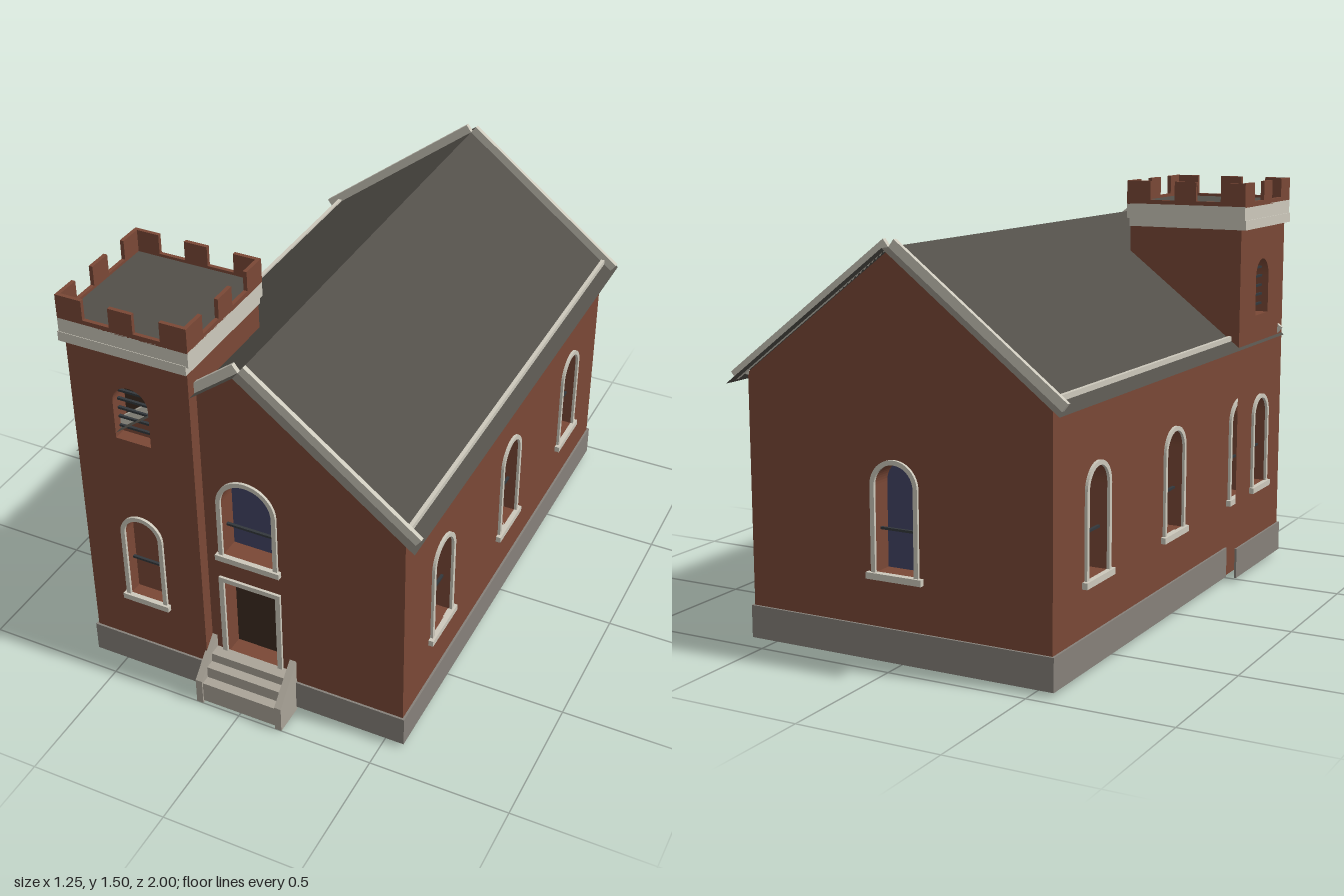
import * as THREE from 'three';

const mat = (name, color, side = THREE.FrontSide) => {
  const m = new THREE.MeshStandardMaterial({ color, side });
  m.name = name;
  return m;
};

export function createModel() {
  const root = new THREE.Group();
  root.name = 'church';
  const D = THREE.DoubleSide;
  const brick = mat('brick', 0x7a4836, D), slate = mat('slate', 0x524f49, D);
  const trim = mat('trim', 0xcdc9bc), plinthMat = mat('plinthStone', 0x86817a);
  const stepMat = mat('stepStone', 0xaaa498), glass = mat('glass', 0x424466, D);
  const darkWood = mat('darkWood', 0x3c2b20, D), barMat = mat('glazingBar', 0x33383c);

  const add = (parent, name, geo, material, x = 0, y = 0, z = 0) => {
    const m = new THREE.Mesh(geo, material);
    m.name = name;
    m.position.set(x, y, z);
    parent.add(m);
    return m;
  };
  // Box given by its lower and upper limits
  const box = (parent, name, material, x0, x1, y0, y1, z0, z1) =>
    add(parent, name, new THREE.BoxGeometry(x1 - x0, y1 - y0, z1 - z0), material,
      (x0 + x1) / 2, (y0 + y1) / 2, (z0 + z1) / 2);
  const poly = pts => new THREE.Shape(pts.map(p => new THREE.Vector2(...p)));
  const extrude = (shape, depth) =>
    new THREE.ExtrudeGeometry(shape, { depth, bevelEnabled: false, curveSegments: 12 });

  // Opening outline, round-headed or square
  const outline = (Type, c, hw, y0, y1, round) => {
    const s = new Type();
    s.moveTo(c - hw, y0);
    s.lineTo(c + hw, y0);
    if (round) {
      s.lineTo(c + hw, y1 - hw);
      s.absarc(c, y1 - hw, hw, 0, Math.PI, false);
    } else {
      s.lineTo(c + hw, y1);
      s.lineTo(c - hw, y1);
    }
    s.closePath();
    return s;
  };

  // Recessed opening: reveal, pane, frame, sill and bars
  const DEPTH = 0.07;
  const opening = (g, o) => {
    const { c, hw, y0, y1, round = true, frame = 0, sill = 0, bars = [], pane = glass } = o;
    const reveal = outline(THREE.Shape, c, hw + 0.003, y0 - 0.003, y1 + 0.003, round);
    reveal.holes.push(outline(THREE.Path, c, hw, y0, y1, round));
    add(g, 'reveal', extrude(reveal, DEPTH), brick, 0, 0, -DEPTH);
    add(g, 'pane', new THREE.ShapeGeometry(outline(THREE.Shape, c, hw, y0, y1, round)), pane, 0, 0, -DEPTH);
    if (frame) {
      const f = outline(THREE.Shape, c, hw + frame, y0 - 0.001, y1 + frame, round);
      f.holes.push(outline(THREE.Path, c, hw, y0, y1, round));
      add(g, 'frame', extrude(f, 0.01), trim);
    }
    if (sill) box(g, 'sill', trim, c - sill, c + sill, y0 - 0.022, y0, -0.005, 0.018);
    bars.forEach(y => box(g, 'bar', barMat, c - hw, c + hw, y - 0.004, y + 0.004, -0.035, -0.025));
  };

  // Thin wall in its own plane, facing local +z
  const wall = (name, pts, x, z, turn, openings = []) => {
    const g = new THREE.Group();
    g.name = name;
    g.position.set(x, 0, z);
    g.rotation.y = turn;
    const s = poly(pts);
    openings.forEach(o =>
      s.holes.push(outline(THREE.Path, o.c, o.hw, o.y0, o.y1, o.round !== false)));
    add(g, name + 'Surface', new THREE.ShapeGeometry(s, 12), brick);
    openings.forEach(o => opening(g, o));
    root.add(g);
  };

  const W = 0.565, ZF = 0.88, ZB = -0.945, Y0 = 0.015;
  const RIDGE = 1.36, SLOPE = 0.767;
  const TL = -0.605, TR = -0.16, TF = 0.925, TB = 0.468, TT = 1.36;
  const roofY = x => RIDGE - SLOPE * Math.abs(x);
  const rect = (a, b, y0, y1) => [[a, y0], [b, y0], [b, y1], [a, y1]];
  const gable = [[-W, Y0], [W, Y0], [W, roofY(W) - 0.003], [0, RIDGE - 0.003], [-W, roofY(W) - 0.003]];
  const sideWindow = c => ({ c, hw: 0.073, y0: 0.31, y1: 0.67, frame: 0.016, sill: 0.104, bars: [0.45] });
  const towerWindow = c => ({ c, hw: 0.065, y0: 0.335, y1: 0.672, frame: 0.016, sill: 0.09, bars: [0.475] });
  const belfry = c => ({ c, hw: 0.066, y0: 0.997, y1: 1.207, pane: darkWood,
    bars: [1.03, 1.066, 1.1, 1.136, 1.17] });

  // Nave walls
  wall('frontWall', gable, 0, ZF, 0, [
    { c: 0, hw: 0.094, y0: 0.602, y1: 0.912, frame: 0.016, sill: 0.12, bars: [0.71] },
    { c: 0, hw: 0.098, y0: 0.16, y1: 0.482, round: false, frame: 0.018, pane: darkWood },
  ]);
  wall('backWall', gable, 0, ZB, Math.PI, [sideWindow(0)]);
  const bays = [0.575, -0.03, -0.64];
  wall('leftWall', rect(-ZF, -ZB, Y0, roofY(W)), W, 0, Math.PI / 2, bays.map(z => sideWindow(-z)));
  wall('rightWall', rect(ZB, ZF, Y0, roofY(W)), -W, 0, -Math.PI / 2, bays.map(z => sideWindow(z)));

  // Tower walls, the inner ones only above the roof
  const tx = (TL + TR) / 2, tz = (TF + TB) / 2;
  wall('towerFront', rect(TL, TR, Y0, TT), 0, TF, 0, [towerWindow(tx), belfry(tx)]);
  wall('towerSide', rect(TB, TF, Y0, TT), TL, 0, -Math.PI / 2, [towerWindow(tz), belfry(tz)]);
  wall('towerBack', [[-TR, roofY(TR)], [-TL, roofY(TL)], [-TL, TT], [-TR, TT]], 0, TB, Math.PI);
  wall('towerInnerSide', [[-TF, Y0], [-ZF, Y0], [-ZF, roofY(TR)], [-TB, roofY(TR)], [-TB, TT], [-TF, TT]],
    TR, 0, Math.PI / 2);

  // Stone plinth strips
  const p = 0.008, PT = 0.128;
  [[TR, W + p, ZF, ZF + p], [TL - p, TR + p, TF, TF + p], [TL - p, TL, TB, TF], [TR, TR + p, ZF, TF],
    [-W - p, -W, ZB, TB], [W, W + p, ZB, ZF], [-W - p, W + p, ZB - p, ZB],
  ].forEach(([x0, x1, z0, z1]) => box(root, 'plinth', plinthMat, x0, x1, Y0, PT, z0, z1));

  // Roof slopes with gable copings and eaves strips
  const EAVE = 0.615, RF = 0.925, RB = -1.0;
  for (const s of [-1, 1]) {
    const len = Math.hypot(EAVE, SLOPE * EAVE);
    const slope = add(root, 'roofSlope', new THREE.PlaneGeometry(len, RF - RB).rotateX(-Math.PI / 2),
      slate, s * EAVE / 2, roofY(EAVE / 2), (RF + RB) / 2);
    slope.rotation.z = -s * Math.atan(SLOPE);
    const coping = poly([[0, RIDGE], [s * 0.603, roofY(0.603)],
      [s * 0.6225, roofY(0.603) + 0.0254], [s * 0.0195, RIDGE + 0.0254]]);
    for (const z of [ZF - 0.004, ZB - 0.016])
      add(root, 'gableCoping', extrude(coping, 0.016), trim, 0, 0, z);
    box(root, 'eavesStrip', trim, s * 0.568 - 0.007, s * 0.568 + 0.007, 0.915, 0.937, ZB, ZF);
  }

  // Tower cornice and deck
  const bx0 = -0.62, bx1 = -0.147, bz0 = 0.462, bz1 = 0.935;
  box(root, 'corniceLower', trim, bx0 - 0.004, bx1 - 0.009, 1.33, 1.365, bz0 + 0.002, bz1 + 0.002);
  box(root, 'corniceUpper', trim, bx0, bx1, 1.36, 1.415, bz0, bz1);
  box(root, 'towerDeck', slate, bx0 + 0.01, bx1 - 0.01, 1.41, 1.42, bz0 + 0.01, bz1 - 0.01);

  // Battlements: the same crenellated strip on four sides
  const h = (bx1 - bx0) / 2, lo = 1.43, hi = 1.5, a = h - 0.096, b = 0.043;
  const cren = poly([[-h, 1.412], [h, 1.412], [h, hi], [a, hi], [a, lo], [b, lo], [b, hi],
    [-b, hi], [-b, lo], [-a, lo], [-a, hi], [-h, hi]]);
  const battlements = new THREE.Group();
  battlements.name = 'battlements';
  battlements.position.set((bx0 + bx1) / 2, 0, (bz0 + bz1) / 2);
  for (let i = 0; i < 4; i++) {
    const m = add(battlements, 'parapet', extrude(cren, 0.014).translate(0, 0, h - 0.014), brick);
    m.rotation.y = i * Math.PI / 2;
  }
  root.add(battlements);

  // Entrance steps between sloping cheek walls
  [[0.09, 0.995], [0.135, 0.96], [0.17, 0.925]].forEach(([y, z]) =>
    box(root, 'step', stepMat, -0.142, 0.142, 0.01, y, ZF, z));
  const cheek = poly([[-ZF, 0], [-1, 0], [-1, 0.1], [-ZF, 0.22]]);
  for (const x of [-0.166, 0.141]) {
    const m = add(root, 'stepCheek', extrude(cheek, 0.025), stepMat, x, 0, 0);
    m.rotation.y = Math.PI / 2;
  }
  return root;
}
